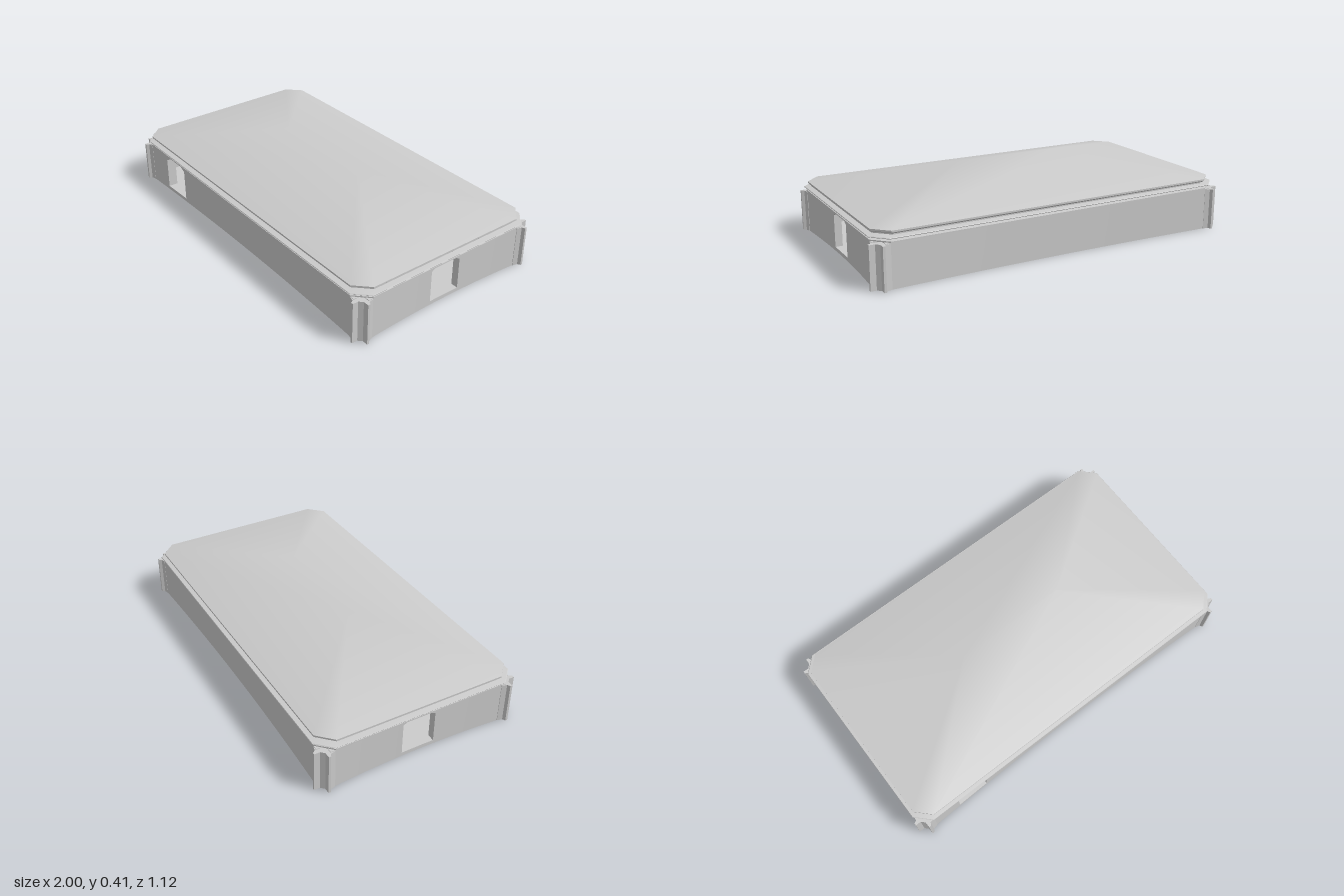
import * as THREE from 'three';
import { toCreasedNormals } from 'three/addons/utils/BufferGeometryUtils.js';

const material = new THREE.MeshStandardMaterial({ color: 0xcccccc });

function add(parent, name, geometry) {
  const mesh = new THREE.Mesh(geometry, material);
  mesh.name = name;
  parent.add(mesh);
  return mesh;
}

function fromTriangles(points, index) {
  const g = new THREE.BufferGeometry();
  g.setAttribute('position', new THREE.Float32BufferAttribute(points.flat(), 3));
  g.setIndex(index);
  return g;
}

// Wall facing +z, bowed inward along its length, with an optional doorway centred on door
const WALL_TOP = 0.223;
function wallGeometry(halfLength, middle, inner, door) {
  const sag = 0.02;
  const outer = u => middle + sag * (u / halfLength) ** 2;
  const stops = [];
  for (let i = 0; i <= 20; i++) stops.push(halfLength * (i / 10 - 1));
  if (door !== undefined) for (const d of [-0.09, -0.03, 0.03, 0.09]) stops.push(door + d);
  stops.sort((a, b) => a - b);

  const points = [], index = [];
  const block = (u0, u1, low0, low1, high) => {
    const n = points.length;
    for (const [u, low] of [[u0, low0], [u1, low1]]) {
      points.push([u, low, inner], [u, low, outer(u)], [u, high, outer(u)], [u, high, inner]);
    }
    const faces = [[1, 5, 6, 2], [4, 0, 3, 7], [2, 6, 7, 3], [0, 4, 5, 1], [0, 1, 2, 3], [5, 4, 7, 6]];
    for (const [a, b, c, d] of faces) index.push(n + a, n + b, n + c, n + a, n + c, n + d);
  };
  // Doorway head: upright jambs, slanted shoulders, flat top
  const head = u => {
    const d = Math.abs(u - door);
    return d <= 0.03 ? 0.222 : 0.222 - (d - 0.03) / 0.06 * 0.032;
  };
  for (let i = 0; i + 1 < stops.length; i++) {
    const u0 = stops[i], u1 = stops[i + 1];
    if (u1 - u0 < 1e-5) continue;
    if (door !== undefined && Math.abs((u0 + u1) / 2 - door) < 0.09) {
      block(u0, u1, 0, 0, 0.02);
      block(u0, u1, head(u0), head(u1), WALL_TOP);
    } else {
      block(u0, u1, 0, 0, WALL_TOP);
    }
  }
  return toCreasedNormals(fromTriangles(points, index), 0.4);
}

// Rectangle with cut corners, counter-clockwise seen from above
function eaveRing(x, y) {
  const z = x - 0.44, c = 0.075;
  return [
    [x, y, z - c], [x, y, c - z], [x - c, y, -z], [c - x, y, -z],
    [-x, y, c - z], [-x, y, z - c], [c - x, y, z], [x - c, y, z],
  ];
}

// Stack of eave rings given as [half width, height], closed underneath
function corniceGeometry(profile) {
  const points = profile.flatMap(([x, y]) => eaveRing(x, y));
  const index = [];
  for (let k = 0; k + 1 < profile.length; k++) {
    for (let i = 0; i < 8; i++) {
      const a = k * 8 + i, b = k * 8 + (i + 1) % 8;
      index.push(a, b, b + 8, a, b + 8, a + 8);
    }
  }
  for (let i = 1; i < 7; i++) index.push(0, i + 1, i);
  return toCreasedNormals(fromTriangles(points, index), 0.3);
}

// Hipped roof rising from the eave to a short ridge
function roofGeometry() {
  const points = [...eaveRing(0.973, 0.278), [0.3, 0.41, 0], [-0.3, 0.41, 0]];
  const index = [];
  for (const i of [7, 0, 1]) index.push(i, (i + 1) % 8, 8);
  for (const i of [3, 4, 5]) index.push(i, i + 1, 9);
  index.push(2, 3, 9, 2, 9, 8, 6, 7, 8, 6, 8, 9);
  const g = fromTriangles(points, index);
  g.computeVertexNormals();
  return g;
}

// Corner post with two projecting fins and a notch between them
function postGeometry(sx, sz) {
  const half = [[0.9, 0.5], [0.905, 0.538], [0.932, 0.545], [0.94, 0.56], [0.952, 0.56], [0.952, 0.53]];
  const other = half.map(([x, z]) => [z + 0.44, x - 0.44]).reverse();
  const plan = [...half, ...other].map(([x, z]) => new THREE.Vector2(x * sx, z * sz));
  const g = new THREE.ExtrudeGeometry(new THREE.Shape(plan), { depth: 0.22, bevelEnabled: false });
  return g.rotateX(Math.PI / 2).translate(0, 0.22, 0);
}

export function createModel() {
  const model = new THREE.Group();
  model.name = 'hall';

  add(model, 'floor', new THREE.BoxGeometry(1.9, 0.02, 1.02).translate(0, 0.01, 0));

  // Walls: a doorway at each end and one in the front
  add(model, 'frontWall', wallGeometry(0.93, 0.518, 0.48, -0.66));
  add(model, 'backWall', wallGeometry(0.93, 0.518, 0.48)).rotation.y = Math.PI;
  add(model, 'leftWall', wallGeometry(0.49, 0.958, 0.92, 0)).rotation.y = Math.PI / 2;
  add(model, 'rightWall', wallGeometry(0.49, 0.958, 0.92, 0)).rotation.y = -Math.PI / 2;

  for (const sx of [-1, 1]) {
    for (const sz of [-1, 1]) add(model, 'cornerPost', postGeometry(sx, sz));
  }

  // Inside of the back wall: a rail and a slanted cove under the ceiling
  add(model, 'innerRail', new THREE.BoxGeometry(1.84, 0.014, 0.015).translate(0, 0.127, -0.474));
  const coveShape = new THREE.Shape([[0.482, 0.168], [0.482, 0.223], [0.42, 0.223]]
    .map(p => new THREE.Vector2(...p)));
  const cove = new THREE.ExtrudeGeometry(coveShape, { depth: 1.84, bevelEnabled: false });
  add(model, 'ceilingCove', cove.translate(0, 0, -0.92).rotateY(Math.PI / 2));

  // Layered cornice: ledge, neck, sharp drip edge, neck, crown
  add(model, 'cornice', corniceGeometry([
    [0.978, 0.2225], [0.978, 0.229], [0.95, 0.231], [0.95, 0.24], [0.988, 0.244], [0.99, 0.247],
    [0.988, 0.25], [0.96, 0.254], [0.96, 0.26], [0.968, 0.264], [0.973, 0.269], [0.973, 0.278],
  ]));
  add(model, 'roof', roofGeometry());
  return model;
}
